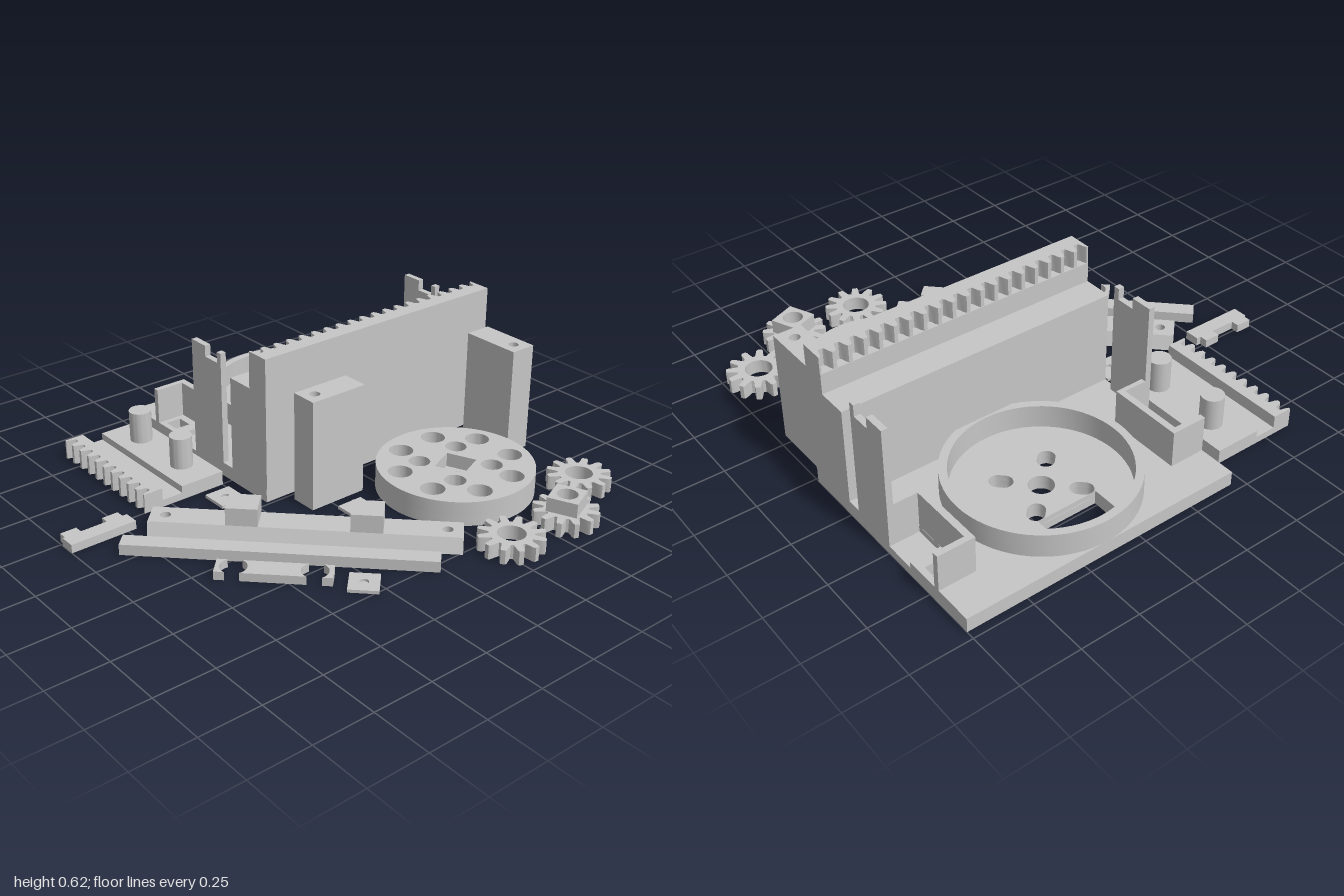
import * as THREE from 'three';
import { toCreasedNormals } from 'three/addons/utils/BufferGeometryUtils.js';

const grey = new THREE.MeshStandardMaterial({ color: 0xc6c6c6 });
grey.name = 'plastic grey';

// Closed outlines are lists of [x, z] seen from above
const rectPts = (x0, x1, z0, z1) => [[x0, z0], [x1, z0], [x1, z1], [x0, z1]];
const circlePts = (x, z, r, n = 32) => Array.from({ length: n }, (_, i) => {
  const a = i / n * Math.PI * 2;
  return [x + r * Math.cos(a), z + r * Math.sin(a)];
});
const squarePts = (x, z, side, angle) =>
  circlePts(0, 0, side * Math.SQRT1_2, 4).map(([px, pz]) => {
    const c = Math.cos(angle + Math.PI / 4), s = Math.sin(angle + Math.PI / 4);
    return [x + px * c - pz * s, z + px * s + pz * c];
  });
// Rounded slot pointing along angle
const slotPts = (x, z, r, half, angle) => Array.from({ length: 24 }, (_, i) => {
  const a = (i + 0.5) / 24 * Math.PI * 2, side = Math.cos(a) > 0 ? half : -half;
  const u = side + r * Math.cos(a), v = r * Math.sin(a), c = Math.cos(angle), s = Math.sin(angle);
  return [x + u * c - v * s, z + u * s + v * c];
});

// Tooth profile: position within one pitch, height 0..1
const TOOTH = [[-0.38, 0], [-0.28, 0.35], [-0.21, 0.8], [-0.13, 1], [0.13, 1], [0.21, 0.8], [0.28, 0.35], [0.38, 0]];
// Straight row of n gaps, beginning and ending on a tooth tip
const rackRow = (start, end, n) => {
  const p = (end - start) / n, row = [];
  for (let i = 0; i < n; i++) for (const [f, h] of TOOTH) row.push([start + (i + 0.5 + f) * p, 1 - h]);
  return [[start, 1], ...row, [end, 1]];
};
const gearPts = (x, z, root, tip, n) => {
  const pts = [];
  for (let i = 0; i < n; i++) for (const [f, h] of TOOTH) {
    const a = (i + f) / n * Math.PI * 2, r = root + (tip - root) * h;
    pts.push([x + r * Math.cos(a), z + r * Math.sin(a)]);
  }
  return pts;
};

export function createModel() {
  const model = new THREE.Group();
  model.name = 'mechanismKit';
  model.position.z = 0.005;
  const group = (name) => {
    const g = new THREE.Group();
    g.name = name;
    model.add(g);
    return g;
  };
  // Outlines and holes all run counter-clockwise so every extruded wall faces outwards
  const vec = (pts) => {
    const v = pts.map(([x, z]) => new THREE.Vector2(x, -z));
    return THREE.ShapeUtils.isClockWise(v) ? v.reverse() : v;
  };
  // Upright prism over an outline, from y0 to y1
  const prism = (parent, name, pts, y0, y1, holes = []) => {
    const shape = new THREE.Shape(vec(pts));
    holes.forEach((h) => shape.holes.push(new THREE.Path(vec(h))));
    const geo = new THREE.ExtrudeGeometry(shape, { depth: y1 - y0, bevelEnabled: false });
    geo.rotateX(-Math.PI / 2).translate(0, y0, 0);
    const mesh = new THREE.Mesh(toCreasedNormals(geo, 0.5), grey);
    mesh.name = name;
    parent.add(mesh);
  };
  // Prism whose holes stop at height yFloor
  const blindPrism = (parent, name, pts, yFloor, y1, holes) => {
    prism(parent, name, pts, 0, yFloor);
    prism(parent, name + 'Top', pts, yFloor, y1, holes);
  };
  const box = (parent, name, x0, x1, y0, y1, z0, z1) => {
    const mesh = new THREE.Mesh(new THREE.BoxGeometry(x1 - x0, y1 - y0, z1 - z0), grey);
    mesh.position.set((x0 + x1) / 2, (y0 + y1) / 2, (z0 + z1) / 2);
    mesh.name = name;
    parent.add(mesh);
  };

  // Main base with side pockets and through holes
  const CX = 0.4, CZ = -0.597;
  const base = group('base');
  const mirrorX = (x) => 2 * CX - x;
  const holes = [
    rectPts(0.265, 0.53, -0.895, -0.742), circlePts(CX, CZ, 0.05),
    rectPts(-0.175, -0.107, -0.762, -0.69), rectPts(mirrorX(-0.107), mirrorX(-0.175), -0.762, -0.69),
  ];
  for (const sx of [-1, 1]) for (const sz of [-1, 1])
    holes.push(slotPts(CX + sx * 0.105, CZ + sz * 0.105, 0.034, 0.012, sx * sz * Math.PI / 4));
  prism(base, 'baseLower', rectPts(-0.2, 1, -0.97, -0.02), 0, 0.035, holes);
  const notch = [[-0.2, -0.508], [-0.075, -0.508], [-0.075, -0.638], [-0.2, -0.638]];
  const notchR = notch.map(([x, z]) => [mirrorX(x), z]).reverse();
  prism(base, 'baseUpper', [[-0.2, -0.97], [1, -0.97], ...notchR, [1, -0.02], [-0.2, -0.02], ...notch],
    0.035, 0.06, holes);
  prism(base, 'turntableRing', circlePts(CX, CZ, 0.373, 72), 0.06, 0.158, [circlePts(CX, CZ, 0.34, 72)]);

  // Tall wall with a ledge and a toothed top edge
  box(base, 'wall', -0.2, 1, 0.06, 0.55, -0.122, -0.018);
  box(base, 'ledge', -0.2, 1, 0.06, 0.465, -0.248, -0.122);
  const wallRow = rackRow(-0.2, 1, 19).map(([x, h]) => [x, -0.08 - 0.04 * h]);
  prism(base, 'wallRack', [[-0.2, -0.018], ...wallRow, [1, -0.018]], 0.55, 0.622);

  // Mirrored notched uprights and servo enclosures
  for (const s of [-1, 1]) {
    const side = s < 0 ? 'right' : 'left';
    const mbox = (name, a, b, ...r) => {
      const xs = [CX + s * a, CX + s * b].sort((p, q) => p - q);
      box(base, side + name, xs[0], xs[1], ...r);
    };
    mbox('UprightBody', 0.574, 0.6, 0.06, 0.5, -0.508, -0.31);
    mbox('UprightBackTip', 0.574, 0.6, 0.5, 0.547, -0.508, -0.415);
    mbox('UprightFrontTip', 0.574, 0.6, 0.5, 0.547, -0.335, -0.31);
    mbox('EnclosureInner', 0.446, 0.474, 0.06, 0.215, -0.81, -0.488);
    mbox('EnclosureBack', 0.474, 0.6, 0.06, 0.215, -0.81, -0.785);
    mbox('EnclosureFront', 0.474, 0.574, 0.06, 0.215, -0.508, -0.488);
  }

  // Sliding plate with pegs and a rack edge
  const slider = group('slider');
  box(slider, 'sliderPlate', -0.447, -0.248, 0, 0.06, -0.855, -0.252);
  box(slider, 'sliderGroove', -0.54, -0.447, 0, 0.03, -0.855, -0.252);
  const sideRow = rackRow(-0.855, -0.252, 10).map(([z, h]) => [-0.585 - 0.04 * h, z]);
  prism(slider, 'sliderRack', [[-0.54, -0.855], ...sideRow, [-0.54, -0.252]], 0, 0.083);
  for (const z of [-0.707, -0.407]) prism(slider, 'sliderPeg', circlePts(-0.342, z, 0.047), 0.06, 0.195);

  // Small bracket with two lugs
  prism(group('bracket'), 'bracketBody', [[-1, -0.175], [-1, -0.24], [-0.99, -0.24], [-0.99, -0.275], [-0.92, -0.275],
    [-0.92, -0.24], [-0.805, -0.24], [-0.805, -0.275], [-0.735, -0.275], [-0.735, -0.24], [-0.715, -0.24], [-0.715, -0.175]], 0, 0.036);

  // Tall supports with a blind hole on top
  const supports = group('supports');
  blindPrism(supports, 'wideSupport', rectPts(-0.098, 0.163, 0.03, 0.145), 0.44, 0.47, [circlePts(-0.042, 0.087, 0.022, 20)]);
  blindPrism(supports, 'deepSupport', rectPts(0.846, 0.963, 0.03, 0.293), 0.44, 0.47, [circlePts(0.905, 0.235, 0.022, 20)]);

  // Thin square plates
  const tiles = group('squarePlates');
  for (const [x, z, a] of [[-0.31, -0.147, 0], [0.045, 0.257, 0], [-0.293, 0.675, Math.PI / 4]])
    blindPrism(tiles, 'squarePlate', squarePts(x, z, 0.116, a), 0.003, 0.013, [circlePts(x, z, 0.018, 20)]);

  // Turntable disk with blind sockets, keyed centre and screw holes
  const DX = 0.477, DZ = 0.353, disk = group('turntableDisk');
  const screws = [[-1, -1], [1, -1], [1, 1], [-1, 1]].map(([a, b]) => [DX + a * 0.103, DZ + b * 0.103]);
  const sockets = Array.from({ length: 8 }, (_, i) => {
    const a = (i + 0.5) * Math.PI / 4 - 0.02;
    return circlePts(DX + 0.24 * Math.cos(a), DZ + 0.24 * Math.sin(a), 0.05);
  });
  prism(disk, 'diskBottom', circlePts(DX, DZ, 0.323, 72), 0, 0.045,
    [circlePts(DX, DZ, 0.042), ...screws.map(([x, z]) => circlePts(x, z, 0.028))]);
  prism(disk, 'diskTop', circlePts(DX, DZ, 0.323, 72), 0.045, 0.105,
    [squarePts(DX, DZ, 0.128, -0.4), ...screws.map(([x, z]) => circlePts(x, z, 0.044)), ...sockets]);

  // Three pinions, the middle one with a square hub
  const gears = group('gears');
  for (const [x, z, r] of [[0.307, 0.828, 0.056], [0.612, 0.828, 0.042], [0.867, 0.67, 0.056]]) {
    prism(gears, 'gear', gearPts(x, z, 0.087, 0.132, 12), 0, 0.06, [circlePts(x, z, r)]);
    if (r < 0.05) prism(gears, 'gearHub', squarePts(x, z, 0.125, -0.4), 0.06, 0.12, [circlePts(x, z, r)]);
  }

  // Parts lying diagonally, built along local x
  const diagonal = (name, x, z) => {
    const g = group(name);
    g.position.set(x, 0, z);
    g.rotation.y = -Math.PI / 4;
    return g;
  };

  // Dovetail rail with sloping flanks, two blocks and blind end holes
  const rail = diagonal('rail', -0.241, 0.275);
  const L = 0.6, W = 0.08, T = 0.057;
  blindPrism(rail, 'railCore', rectPts(-L, L, -T, T), 0.02, 0.06,
    [-0.54, 0.54].map((t) => circlePts(t, 0, 0.021, 20)));
  for (const s of [-1, 1]) {
    const flank = new THREE.Shape([[0, 0], [W - T, 0], [0, 0.06]].map(([a, b]) => new THREE.Vector2(a, b)));
    const geo = new THREE.ExtrudeGeometry(flank, { depth: 2 * L, bevelEnabled: false });
    geo.translate(0, 0, -L).rotateY(-s * Math.PI / 2).translate(0, 0, s * T);
    const mesh = new THREE.Mesh(geo, grey);
    mesh.name = 'railFlank';
    rail.add(mesh);
  }
  for (const t of [-0.238, 0.237]) box(rail, 'railBlock', t - 0.062, t + 0.062, 0.06, 0.135, -T, T);

  // Plain strip
  box(diagonal('strip', -0.421, 0.343), 'stripBody', -0.598, 0.598, 0, 0.045, -0.036, 0.036);

  // Short link interrupted by two round cuts
  const link = diagonal('link', -0.511, 0.428);
  const R = 0.052, H = 0.044, C = 0.15, A = Math.asin(H / R), END = 0.218;
  const arc = (cx, from, to) => Array.from({ length: 13 }, (_, i) => {
    const a = from + (to - from) * i / 12;
    return [cx + R * Math.cos(a), R * Math.sin(a)];
  });
  prism(link, 'linkMiddle', [...arc(-C, -A, A), ...arc(C, Math.PI - A, Math.PI + A)], 0, 0.035);
  prism(link, 'linkEnd', [[END, -H], ...arc(C, -A, A), [END, H]], 0, 0.035);
  prism(link, 'linkEnd', [[-END, H], ...arc(-C, Math.PI - A, Math.PI + A), [-END, -H]], 0, 0.035);

  return model;
}
